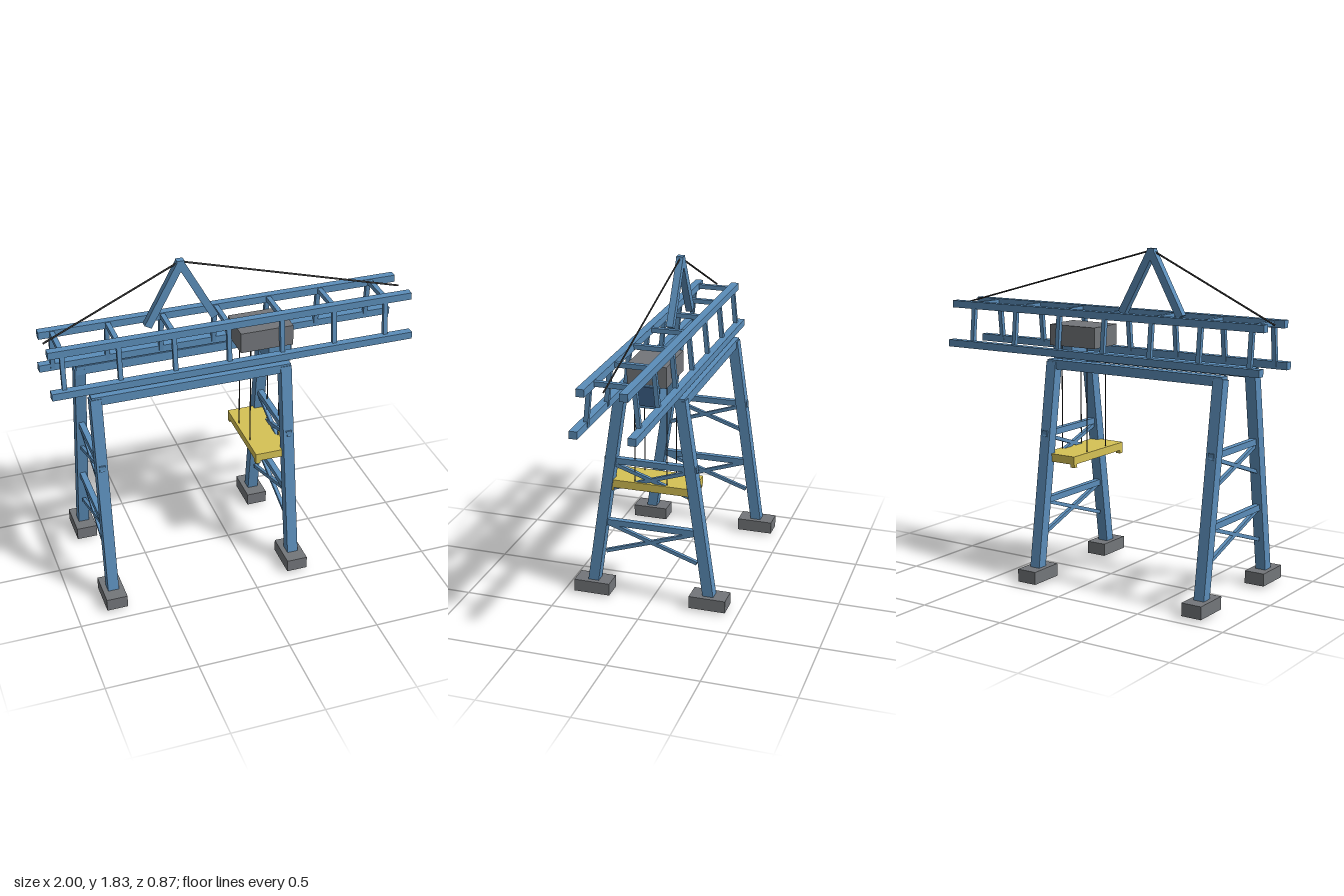
import * as THREE from 'three';

const mat = (color) => new THREE.MeshStandardMaterial({ color, flatShading: true });

export function createModel() {
  const crane = new THREE.Group();
  crane.name = 'gantryCrane';
  const blue = mat(0x5b8db9), grey = mat(0x73767a), yellow = mat(0xd6c255);
  const dark = mat(0x3a3a3a), glass = mat(0x3c6087);

  const add = (name, geometry, material, x, y, z) => {
    const mesh = new THREE.Mesh(geometry, material);
    mesh.name = name;
    mesh.position.set(x, y, z);
    crane.add(mesh);
    return mesh;
  };
  const box = (name, material, w, h, d, x, y, z) =>
    add(name, new THREE.BoxGeometry(w, h, d), material, x, y, z);

  // Square bar between two points; width lies across, depth lies in the bar's own plane
  const bar = (name, material, a, b, width, depth) => {
    const from = new THREE.Vector3(...a), to = new THREE.Vector3(...b);
    const dir = to.clone().sub(from);
    const mid = from.add(to).multiplyScalar(0.5);
    const mesh = box(name, material, width, dir.length(), depth, mid.x, mid.y, mid.z);
    mesh.quaternion.setFromUnitVectors(new THREE.Vector3(0, 1, 0), dir.normalize());
    return mesh;
  };
  const cable = (name, a, b, r) => {
    const path = new THREE.LineCurve3(new THREE.Vector3(...a), new THREE.Vector3(...b));
    return add(name, new THREE.TubeGeometry(path, 1, r, 6), dark, 0, 0, 0);
  };

  // Portal frames: splayed legs, bogies, wheels and cross bracing
  for (const x of [-0.78, 0.26]) {
    for (const s of [-1, 1]) {
      bar('leg', blue, [x, 0.08, s * 0.332], [x, 1.2, s * 0.167], 0.06, 0.06);
      box('bogie', grey, 0.115, 0.07, 0.205, x, 0.05, s * 0.333);
      for (const dz of [-0.06, 0.06]) {
        const wheel = add('wheel', new THREE.CylinderGeometry(0.025, 0.025, 0.02, 12),
          dark, x, 0.027, s * 0.333 + dz);
        wheel.rotation.z = Math.PI / 2;
      }
    }
    for (const y of [0.445, 0.815]) {
      box('legTie', blue, 0.032, 0.034, 0.52, x, y, 0);
      for (const s of [-1, 1]) {
        bar('legBrace', blue, [x, y - 0.18, s * 0.26], [x, y - 0.005, -s * 0.26], 0.02, 0.02);
      }
    }
  }

  // Main girder: portal beams, lower and upper chords, leaning posts
  const posts = Array.from({ length: 7 }, (_, i) => -0.927 + i * 0.2965);
  for (const s of [-1, 1]) {
    box('portalBeam', blue, 1.09, 0.05, 0.055, -0.257, 1.19, s * 0.165);
    box('lowerChord', blue, 2, 0.04, 0.043, 0, 1.246, s * 0.15);
    box('upperChord', blue, 2, 0.04, 0.043, 0, 1.466, s * 0.11);
    for (const x of posts) {
      bar('girderPost', blue, [x, 1.24, s * 0.138], [x, 1.465, s * 0.115], 0.024, 0.024);
    }
  }
  for (const x of posts) box('girderTie', blue, 0.026, 0.026, 0.21, x, 1.468, 0);

  // Mast with its stay cables
  const apex = [-0.26, 1.81, 0];
  for (const s of [-1, 1]) bar('mastLeg', blue, [-0.26 + s * 0.183, 1.475, 0], apex, 0.042, 0.038);
  box('mastCap', blue, 0.04, 0.03, 0.038, -0.26, 1.812, 0);
  cable('leftStay', [0.98, 1.47, 0], [-0.26, 1.817, 0], 0.005);
  cable('rightStay', [-0.995, 1.47, 0], [-0.26, 1.817, 0], 0.005);

  // Trolley and operator cab
  box('trolley', grey, 0.295, 0.115, 0.216, 0.183, 1.337, 0);
  box('cab', blue, 0.125, 0.13, 0.145, 0.27, 1.225, 0);
  box('cabWindow', glass, 0.012, 0.105, 0.12, 0.335, 1.227, 0);

  // Hoist ropes and spreader with corner locks
  box('spreader', yellow, 0.2, 0.044, 0.475, 0.18, 0.682, 0);
  for (const x of [0.097, 0.263]) {
    for (const s of [-1, 1]) {
      cable('hoistRope', [x, 1.29, s * 0.09], [x, 0.7, s * 0.09], 0.003);
      box('cornerLock', yellow, 0.026, 0.02, 0.026, x - Math.sign(0.18 - x) * 0.004, 0.652, s * 0.222);
    }
  }
  return crane;
}
